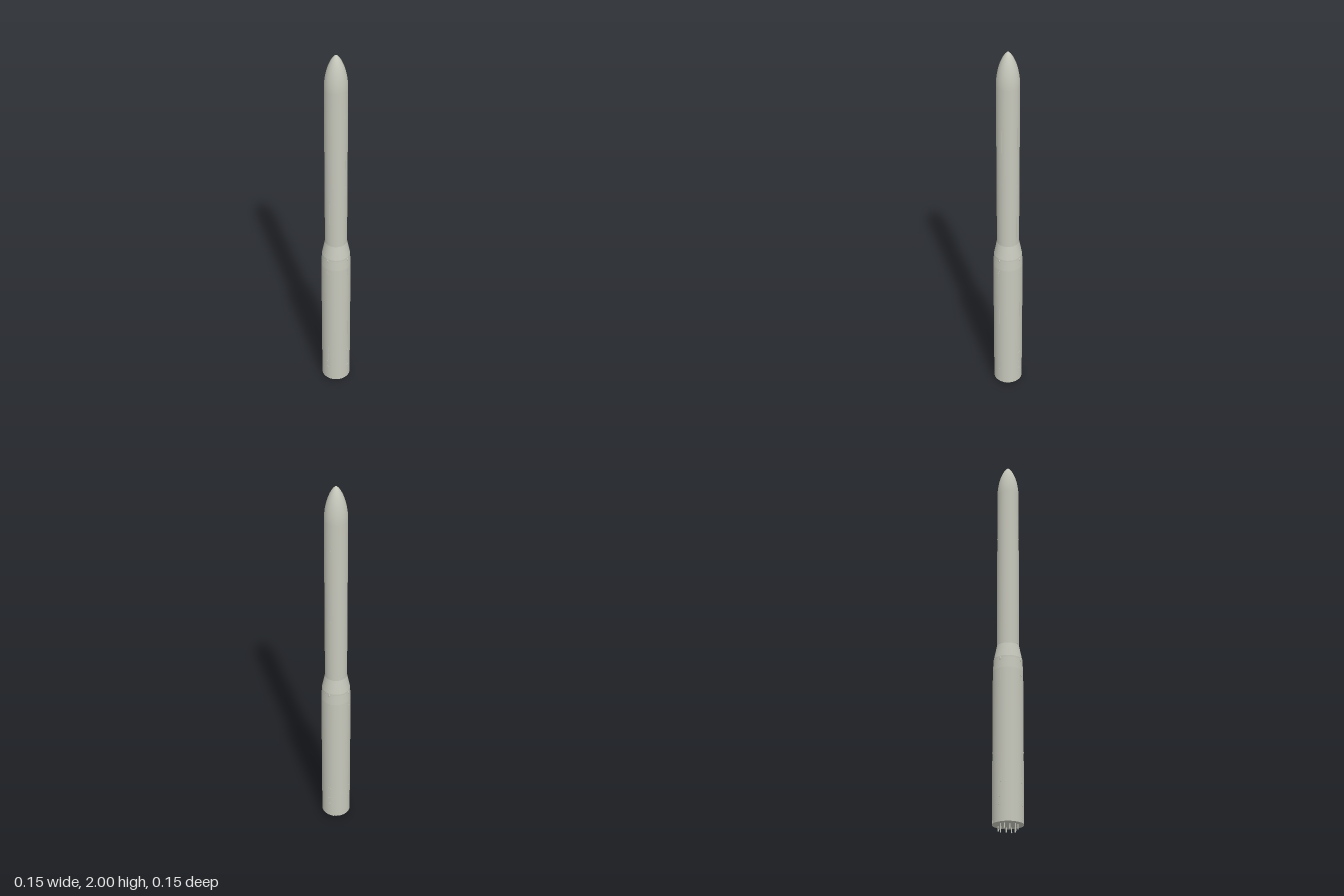
import * as THREE from 'three';

export function createModel() {
  const group = new THREE.Group();
  const hull = new THREE.MeshStandardMaterial({ color: 0xc6c7bb });
  hull.name = 'hull grey';
  const R = 0.0755, r = 0.0562, S = 0.0715, BASE = 0.026, SEG = 64;

  const add = (name, geo, x = 0, y = 0, z = 0, parent = group) => {
    const m = new THREE.Mesh(geo, hull);
    m.name = name;
    m.position.set(x, y, z);
    parent.add(m);
    return m;
  };
  const tube = (name, y0, y1, r0, r1) =>
    add(name, new THREE.CylinderGeometry(r1, r0, y1 - y0, SEG, 1, true), 0, (y0 + y1) / 2);

  // Hull sections
  tube('lowerStage', BASE, 0.8, R, R);
  tube('lowerStageShoulder', 0.8, 0.865, R, S);
  tube('interstageCone', 0.865, 0.94, S, r);
  tube('upperStage', 0.94, 1.83, r, r);

  // Rounded ogive nose
  const nose = [];
  for (let i = 0; i <= 24; i++) {
    const t = 1 - Math.pow(1 - i / 24, 1.5);
    nose.push(new THREE.Vector2(r * Math.pow(1 - Math.pow(t, 1.9), 0.66), 1.83 + 0.17 * t));
  }
  add('noseFairing', new THREE.LatheGeometry(nose, SEG));

  // Slightly raised joint rings: height, hull radius, ring height
  [
    [1.56, r, 0.006], [1.39, r, 0.003], [1.12, r, 0.004],
    [0.861, S + 0.0002, 0.008], [0.58, R, 0.006], [0.38, R, 0.006],
  ].forEach(([y, rad, h]) => tube('jointRing', y - h / 2, y + h / 2, rad + 0.0003, rad + 0.0003));

  // Engine bay floor
  add('engineBayFloor', new THREE.CircleGeometry(R, SEG).rotateX(Math.PI / 2), 0, BASE);

  // Cable ducts and fittings repeated on four sides
  for (let i = 0; i < 4; i++) {
    const side = new THREE.Group();
    side.name = 'sideFittings';
    side.rotation.y = i * Math.PI / 2;
    group.add(side);
    [[1.4, 1.69, r], [0.945, 1.29, r], [0.15, 0.79, R]].forEach(([a, b, rad]) =>
      add('cableDuct', new THREE.BoxGeometry(0.005, b - a, 0.0012), 0, (a + b) / 2, rad, side));
    [0.77, 0.22, 0.15, 0.11].forEach(y =>
      add('ductFitting', new THREE.BoxGeometry(0.011, 0.009, 0.002), 0, y, R, side));
    add('shoulderPod', new THREE.SphereGeometry(0.005, 12, 8).scale(1, 2, 1), 0, 0.852, 0.0705, side);
    const fitting = add('baseFitting', new THREE.BoxGeometry(0.005, 0.014, 0.001),
      R * Math.SQRT1_2, BASE + 0.009, R * Math.SQRT1_2, side);
    fitting.rotation.y = Math.PI / 4;
    // Engine nozzles
    [[0.01, 0.048], [-0.01, 0.048], [0.026, 0.026]].forEach(([x, z]) =>
      add('engineNozzle', new THREE.CylinderGeometry(0.0022, 0.003, BASE, 12), x, BASE / 2, z, side));
  }
  return group;
}
